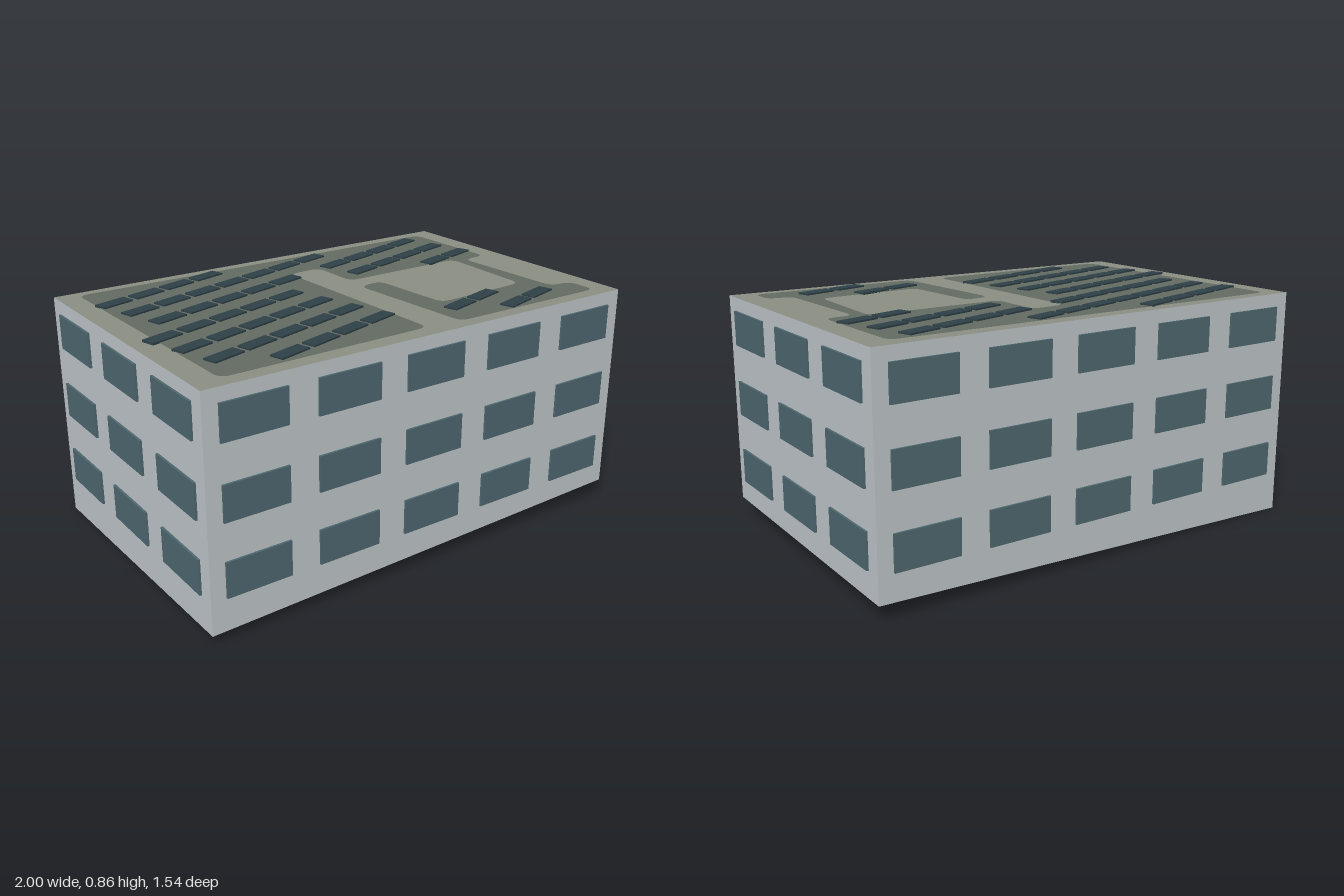
import * as THREE from 'three';

const wallMat = new THREE.MeshStandardMaterial({ name: 'wall grey', color: 0xc0c7cb });
const roofMat = new THREE.MeshStandardMaterial({ name: 'roof olive', color: 0x8b9083 });
const patchMat = new THREE.MeshStandardMaterial({ name: 'roof dark patch', color: 0x646b62 });
const glassMat = new THREE.MeshStandardMaterial({ name: 'window teal', color: 0x4e6870 });
const panelMat = new THREE.MeshStandardMaterial({ name: 'roof panel', color: 0x2e4148 });

const ROOF = 0.85;
// Corners anticlockwise seen from above, starting front left: x, base height, z
const corners = [[-1, 0.03, 0.29], [0.68, 0.07, 0.765], [1, 0.055, -0.32], [-0.685, 0, -0.775]];

function quads(list) {
  const pos = [];
  for (const [a, b, c, d] of list) pos.push(...a, ...b, ...c, ...a, ...c, ...d);
  const geo = new THREE.BufferGeometry();
  geo.setAttribute('position', new THREE.Float32BufferAttribute(pos, 3));
  geo.computeVertexNormals();
  return geo;
}

// Closed shape with softened corners; points are [x, z] on the roof
function roundedShape(points, radius) {
  const v = points.map(([x, z]) => new THREE.Vector2(x, -z));
  const shape = new THREE.Shape();
  v.forEach((p, i) => {
    const prev = v[(i + v.length - 1) % v.length], next = v[(i + 1) % v.length];
    const toward = (q) => p.clone().lerp(q, Math.min(radius / p.distanceTo(q), 0.45));
    const a = toward(prev), b = toward(next);
    if (i === 0) shape.moveTo(a.x, a.y); else shape.lineTo(a.x, a.y);
    shape.quadraticCurveTo(p.x, p.y, b.x, b.y);
  });
  shape.closePath();
  return shape;
}

export function createModel() {
  const group = new THREE.Group();
  group.name = 'building';
  const add = (name, geo, mat, parent = group) => {
    const mesh = new THREE.Mesh(geo, mat);
    mesh.name = name;
    parent.add(mesh);
    return mesh;
  };

  // Walls, sloping base and flat roof
  const top = corners.map(([x, , z]) => [x, ROOF, z]);
  const sides = corners.map((c, i) => {
    const j = (i + 1) % 4;
    return [c, corners[j], top[j], top[i]];
  });
  add('walls', quads(sides), wallMat);
  add('base', quads([[...corners].reverse()]), wallMat);
  add('roof', quads([top]), roofMat);

  // Three floors of windows: five on the long walls, three on the short ones
  const windows = new THREE.Group();
  windows.name = 'windows';
  group.add(windows);
  corners.forEach((p, i) => {
    const q = corners[(i + 1) % 4];
    const dx = q[0] - p[0], dz = q[2] - p[2];
    const count = i % 2 ? 3 : 5;
    const pane = new THREE.BoxGeometry(Math.hypot(dx, dz) / count * 0.685, 0.127, 0.016);
    for (let floor = 0; floor < 3; floor++) {
      for (let k = 0; k < count; k++) {
        const t = (k + 0.5) / count;
        const mesh = add('window', pane, glassMat, windows);
        mesh.position.set(p[0] + dx * t, 0.214 + floor * 0.262, p[2] + dz * t);
        mesh.rotation.y = Math.atan2(-dz, dx);
      }
    }
  });

  // Dark roof surface winding around the court and walkway
  const outline = [
    [-0.62, -0.715], [0.9, -0.29], [0.785, 0.12], [0.685, 0.095], [0.565, 0.55], [0.65, 0.58],
    [0.62, 0.695], [-0.005, 0.52], [0.11, 0.005], [0.21, 0.02], [0.135, 0.35], [0.52, 0.44],
    [0.65, 0.06], [0.15, -0.075], [0.21, -0.28], [0.075, -0.31], [-0.13, 0.47], [-0.895, 0.265],
  ];
  const patch = new THREE.ShapeGeometry(roundedShape(outline, 0.04), 6);
  patch.rotateX(-Math.PI / 2);
  add('roofPatch', patch, patchMat).position.y = ROOF + 0.002;

  // Rows of roof panels: runs of first and last column, back to front
  const rows = [
    [[0, 3]], [[0, 6]], [[0, 4], [6, 9]], [[-1, 3], [6, 9]], [[-1, 3], [8, 9]],
    [[-1, 3]], [[0, 3]], [[5, 6]], [[6, 7]],
  ];
  const panels = new THREE.Group();
  panels.name = 'roofPanels';
  group.add(panels);
  const panelGeo = new THREE.BoxGeometry(0.128, 0.008, 0.053);
  rows.forEach((runs, r) => {
    for (const [first, last] of runs) {
      for (let k = first; k <= last; k++) {
        add('roofPanel', panelGeo, panelMat, panels)
          .position.set(-0.604 + k * 0.15, ROOF + 0.004, -0.54 + r * 0.137);
      }
    }
  });
  return group;
}
